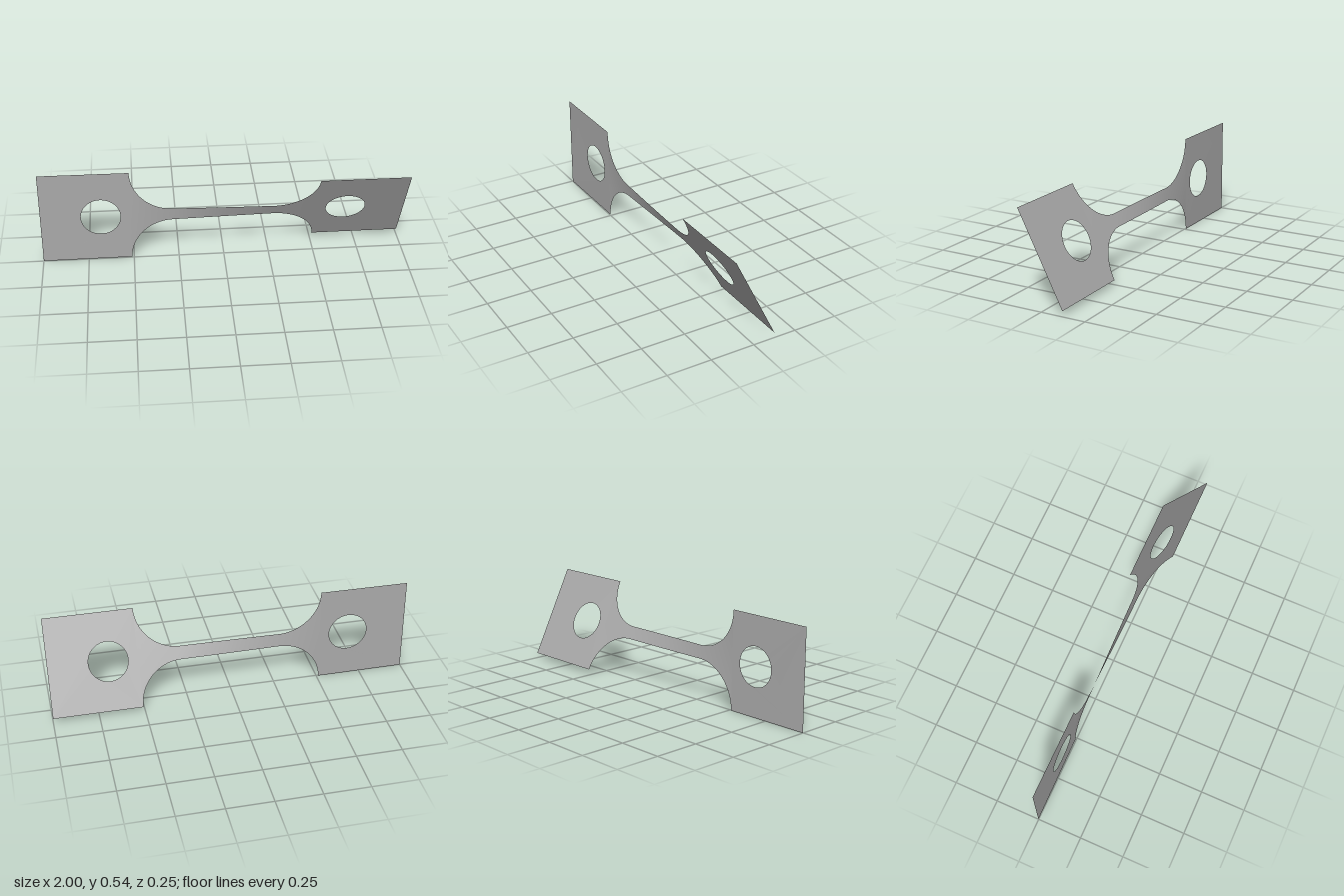
import * as THREE from 'three';

const HALF = 0.271;              // half height of the grips
const NECK = 0.037;              // half height of the gauge strip
const R = HALF - NECK;           // fillet radius
const GRIP_X = 0.51;             // inner edge of each grip
const HOLE_X = 0.672, HOLE_R = 0.108;

// twist of the sheet about the x axis: [x, degrees]
const TWIST = [[-1, 0.3], [-0.51, 1], [-0.27, 7.5], [0, 18], [0.27, 26], [0.51, 27], [1, 27]];

function twistAt(x) {
  let i = 0;
  while (i < TWIST.length - 2 && x > TWIST[i + 1][0]) i++;
  const [x0, a0] = TWIST[i], [x1, a1] = TWIST[i + 1];
  return THREE.MathUtils.degToRad(a0 + (a1 - a0) * (x - x0) / (x1 - x0));
}

// rotate every point about the long axis by the local twist, then lift to stand on the ground
function twistSheet(geometry) {
  const p = geometry.attributes.position;
  for (let i = 0; i < p.count; i++) {
    const x = p.getX(i), y = p.getY(i), a = twistAt(x);
    p.setXYZ(i, x, HALF + y * Math.cos(a), y * Math.sin(a));
  }
  geometry.computeVertexNormals();
  return geometry;
}

// square end plate with a round pin hole
function gripGeometry(side) {
  const x0 = side < 0 ? -1 : GRIP_X, x1 = side < 0 ? -GRIP_X : 1;
  const shape = new THREE.Shape();
  shape.moveTo(x0, -HALF).lineTo(x1, -HALF).lineTo(x1, HALF).lineTo(x0, HALF).closePath();
  const hole = new THREE.Path();
  hole.absarc(side * HOLE_X, 0, HOLE_R, 0, Math.PI * 2, true);
  shape.holes.push(hole);
  return twistSheet(new THREE.ShapeGeometry(shape, 32));
}

// narrow strip that flares into both grips through quarter-circle fillets
function neckGeometry() {
  const columns = [], steps = 24, strip = 32;
  for (let i = 0; i <= steps; i++) {
    const t = (i / steps) * Math.PI / 2;
    columns.push([-GRIP_X + R * (1 - Math.cos(t)), HALF - R * Math.sin(t)]);
  }
  const mirrored = columns.map(([x, h]) => [-x, h]).reverse();
  const end = GRIP_X - R;
  for (let i = 1; i < strip; i++) columns.push([-end + 2 * end * i / strip, NECK]);
  columns.push(...mirrored);

  const rows = 8, n = columns.length;
  const geometry = new THREE.PlaneGeometry(1, 2, n - 1, rows);
  const p = geometry.attributes.position;
  for (let i = 0; i < p.count; i++) {
    const [x, h] = columns[i % n];
    p.setXYZ(i, x, p.getY(i) * h, 0);
  }
  return twistSheet(geometry);
}

export function createModel() {
  const group = new THREE.Group();
  group.name = 'twistedTestSpecimen';
  const steel = new THREE.MeshStandardMaterial({ color: 0xaaaaaa, side: THREE.DoubleSide });
  steel.name = 'grey steel';

  const add = (name, geometry) => {
    const mesh = new THREE.Mesh(geometry, steel);
    mesh.name = name;
    group.add(mesh);
  };
  add('rightGrip', gripGeometry(-1));
  add('neck', neckGeometry());
  add('leftGrip', gripGeometry(1));
  return group;
}
